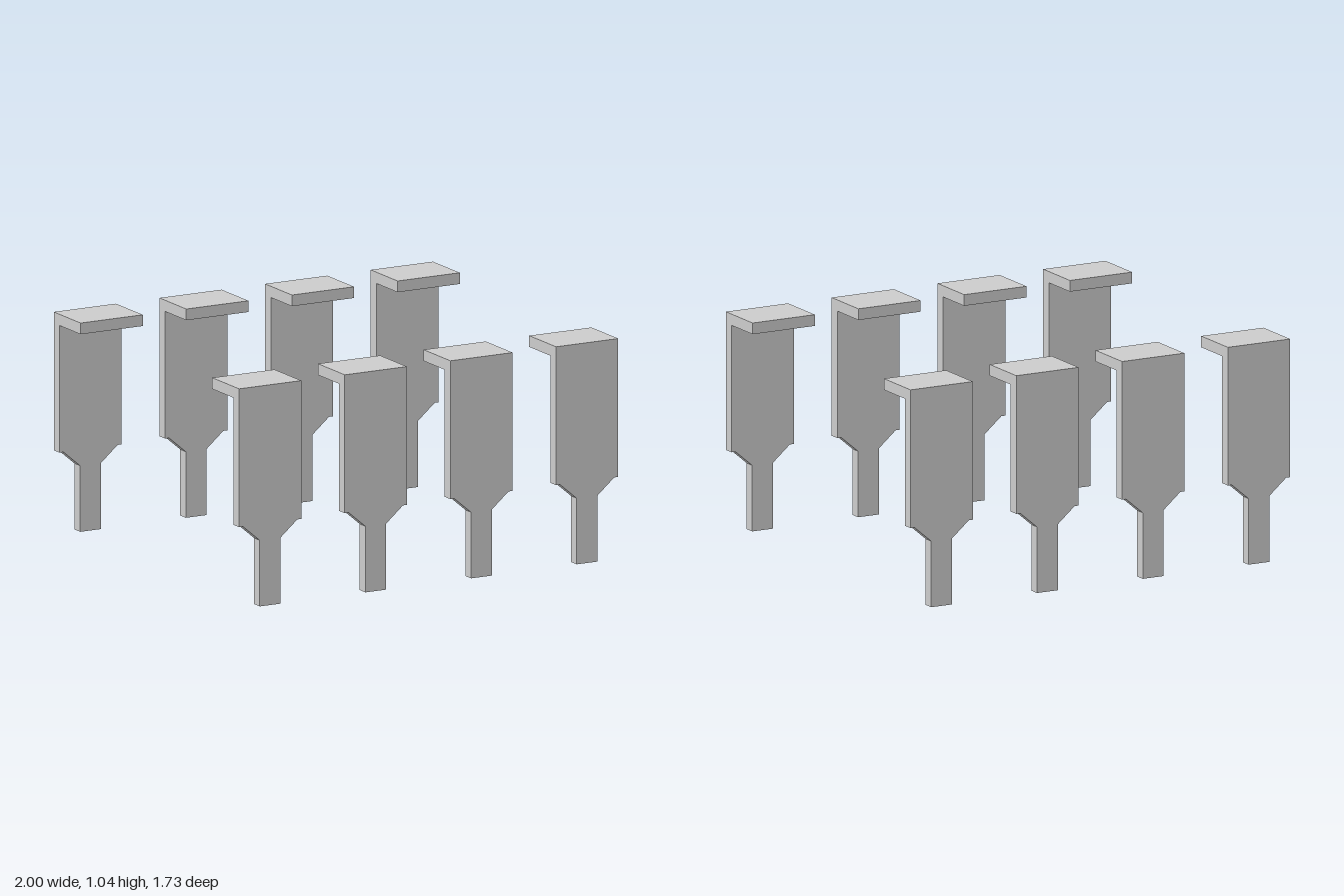
import * as THREE from 'three';

const TOP = 1.04;        // overall height
const HALF = 0.164;      // half width of the wide blade
const THICK = 0.053;     // sheet thickness
const OUTER = 0.864;     // z of the outer faces
const REACH = 0.25;      // depth of the bent tab
const PITCH = 0.557;     // spacing along x

// Flat blade: wide upper part, small shoulders, taper, narrow pin
function bladeGeometry() {
  const right = [[0.055, 0], [0.055, 0.312], [0.143, 0.387], [HALF, 0.387], [HALF, TOP - THICK]];
  const left = right.map(([x, y]) => [-x, y]).reverse();
  const shape = new THREE.Shape([...right, ...left].map(([x, y]) => new THREE.Vector2(x, y)));
  const geometry = new THREE.ExtrudeGeometry(shape, { depth: THICK, bevelEnabled: false });
  return geometry.translate(0, 0, OUTER - THICK);
}

// Horizontal tab bent inward from the top of the blade
function tabGeometry() {
  return new THREE.BoxGeometry(HALF * 2, THICK, REACH)
    .translate(0, TOP - THICK / 2, OUTER - REACH / 2);
}

export function createModel() {
  const model = new THREE.Group();
  model.name = 'terminalPins';
  const material = new THREE.MeshStandardMaterial({ color: 0xcccccc, flatShading: true });
  const blade = bladeGeometry();
  const tab = tabGeometry();

  // Two facing rows of four bent pins
  for (const row of ['front', 'back']) {
    const rowGroup = new THREE.Group();
    rowGroup.name = `${row}Row`;
    if (row === 'back') rowGroup.rotation.y = Math.PI;
    for (let i = 0; i < 4; i++) {
      const pin = new THREE.Group();
      pin.name = `${row}Pin${i + 1}`;
      pin.position.x = (i - 1.5) * PITCH;
      const bladeMesh = new THREE.Mesh(blade, material);
      bladeMesh.name = 'pinBlade';
      const tabMesh = new THREE.Mesh(tab, material);
      tabMesh.name = 'topTab';
      pin.add(bladeMesh, tabMesh);
      rowGroup.add(pin);
    }
    model.add(rowGroup);
  }
  return model;
}
